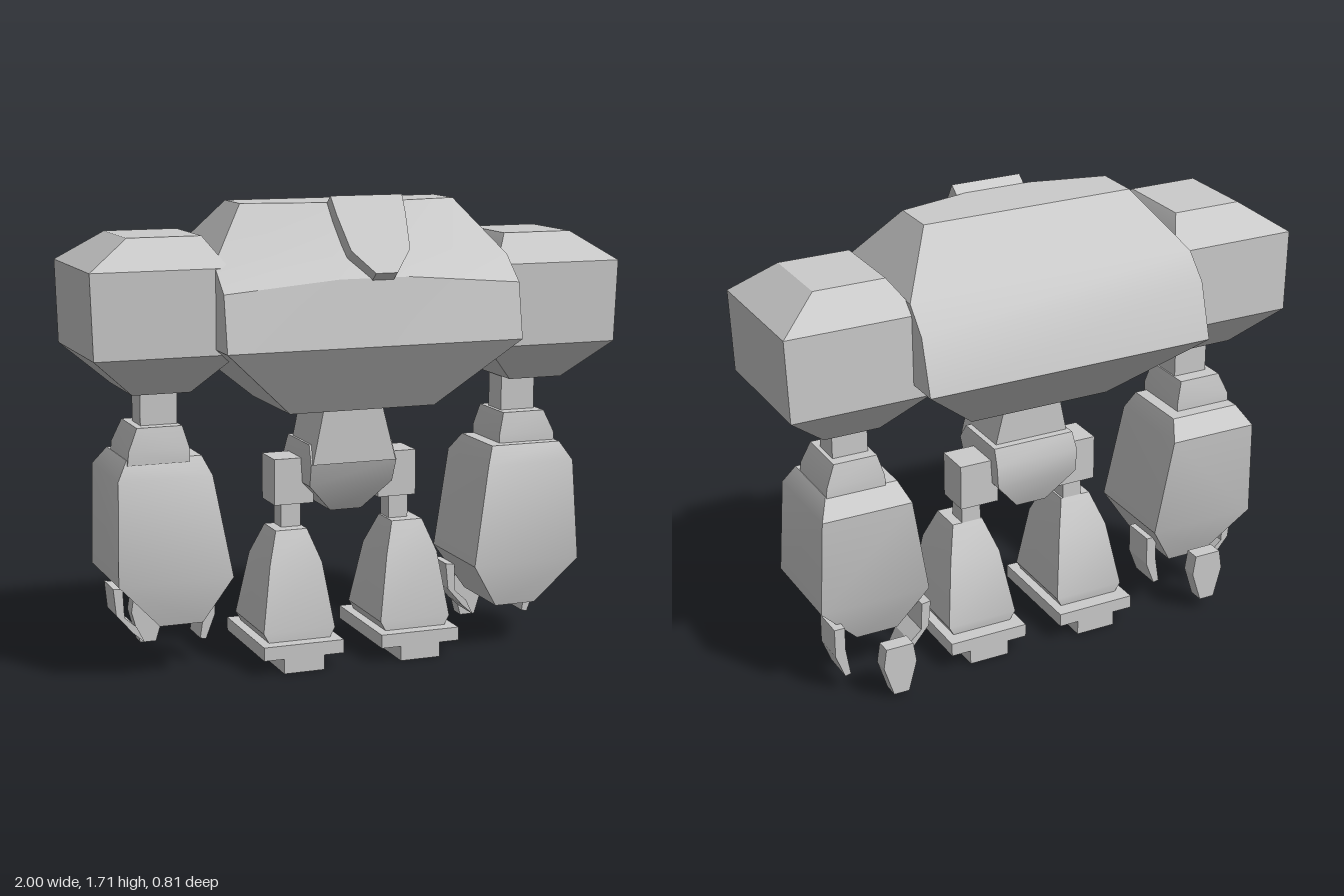
import * as THREE from 'three';
import { toCreasedNormals } from 'three/addons/utils/BufferGeometryUtils.js';

const material = new THREE.MeshStandardMaterial({ color: 0xcccccc });

// Rectangular ring at height y, counterclockwise from above
const rect = (y, x0, x1, z0, z1) => [[x0, y, z1], [x1, y, z1], [x1, y, z0], [x0, y, z0]];

// Closed solid skinned through rings of equal point count
function loft(rings) {
  const pos = [];
  const tri = (a, b, c) => pos.push(...a, ...b, ...c);
  const n = rings[0].length;
  for (let i = 0; i < rings.length - 1; i++) {
    for (let j = 0; j < n; j++) {
      const k = (j + 1) % n;
      const a = rings[i][j], b = rings[i][k], c = rings[i + 1][k], d = rings[i + 1][j];
      tri(a, b, c);
      tri(a, c, d);
    }
  }
  const first = rings[0], last = rings[rings.length - 1];
  for (let j = 1; j < n - 1; j++) {
    tri(first[0], first[j + 1], first[j]);
    tri(last[0], last[j], last[j + 1]);
  }
  const geo = new THREE.BufferGeometry();
  geo.setAttribute('position', new THREE.Float32BufferAttribute(pos, 3));
  return toCreasedNormals(geo, 0.5);
}

// Loft through rectangles [y, x0, x1, z0, z1], listed bottom to top
const stack = (...levels) => loft(levels.map((l) => rect(...l)));

// Flat outline in x, y given thickness from z0 to z1
function slab(points, z0, z1) {
  const shape = new THREE.Shape(points.map(([x, y]) => new THREE.Vector2(x, y)));
  return new THREE.ExtrudeGeometry(shape, { depth: z1 - z0, bevelEnabled: false }).translate(0, 0, z0);
}

function add(parent, name, geometry, x = 0, y = 0, z = 0) {
  const mesh = new THREE.Mesh(geometry, material);
  mesh.name = name;
  mesh.position.set(x, y, z);
  parent.add(mesh);
  return mesh;
}

function makeTorso(group) {
  // Body ring: four points along the front, two at the back
  const ring = (y, w, zBack, zSide, yMid = y, zMid = zSide) =>
    [[-w, y, zSide], [-0.13, yMid, zMid], [0.13, yMid, zMid], [w, y, zSide], [w, y, zBack], [-w, y, zBack]];
  add(group, 'body', loft([
    ring(0.955, 0.275, -0.16, 0.25),
    ring(1.2, 0.55, -0.405, 0.4),
    ring(1.4, 0.55, -0.345, 0.365, 1.435, 0.36),
    ring(1.49, 0.55, -0.26, 0.26, 1.54, 0.265),
    ring(1.685, 0.405, -0.07, 0.1, 1.685, 0.165),
  ]), -0.01);

  // Sloping chest plate
  const outline = [[-0.02, 1.455], [0.06, 1.455], [0.13, 1.53], [0.15, 1.65],
    [0.155, 1.71], [-0.115, 1.71], [-0.11, 1.65], [-0.09, 1.53]];
  const plane = (dy, dz) => outline.map(([x, y]) => [x, y + dy, 0.2 + (1.71 - y) * 0.77 + dz]);
  add(group, 'chestPlate', loft([plane(-0.035, -0.045), plane(0, 0)]));

  // Waist flaring into the pelvis
  add(group, 'waist', stack([0.745, -0.165, 0.155, -0.1, 0.155], [0.96, -0.12, 0.1, -0.1, 0.155]));
  add(group, 'pelvis', stack(
    [0.55, -0.06, 0.06, -0.11, 0.05],
    [0.66, -0.165, 0.155, -0.15, 0.12],
    [0.745, -0.17, 0.16, -0.15, 0.15],
    [0.81, -0.16, 0.16, -0.13, 0.1],
  ));
}

// Arm on one side; the right one sits a little higher and swings back
function makeArm(side) {
  const arm = new THREE.Group();
  const right = side < 0;
  arm.name = right ? 'rightArm' : 'leftArm';
  const part = (name, geo, dx, dz) => {
    if (right) {
      const p = geo.getAttribute('position');
      for (let i = 0; i < p.count; i++) p.setX(i, -p.getX(i));
      // Swap two corners of each triangle so the mirrored faces point out
      for (let i = 0; i < p.count; i += 3) {
        const a = new THREE.Vector3().fromBufferAttribute(p, i + 1);
        const b = new THREE.Vector3().fromBufferAttribute(p, i + 2);
        p.setXYZ(i + 1, b.x, b.y, b.z);
        p.setXYZ(i + 2, a.x, a.y, a.z);
      }
      geo = toCreasedNormals(geo, 0.5);
    }
    add(arm, name, geo, right ? dx : 0, right ? 0.03 : 0, right ? dz : 0);
  };
  part('shoulder', stack(
    [1.01, 0.62, 0.83, -0.16, 0.13],
    [1.15, 0.48, 0.99, -0.275, 0.24],
    [1.45, 0.51, 1.0, -0.27, 0.245],
    [1.555, 0.58, 0.845, -0.155, 0.15],
  ), 0, 0.03);
  part('upperArm', stack([0.85, 0.625, 0.76, -0.06, 0.05], [1.05, 0.625, 0.76, -0.06, 0.05]), -0.01, -0.01);
  part('elbowCollar', stack(
    [0.75, 0.588, 0.815, -0.12, 0.12],
    [0.8, 0.588, 0.81, -0.12, 0.12],
    [0.88, 0.61, 0.775, -0.105, 0.105],
  ), -0.02, -0.02);
  part('forearm', stack(
    [0.163, 0.55, 0.71, -0.1, 0.185],
    [0.33, 0.445, 0.868, -0.16, 0.225],
    [0.7, 0.51, 0.855, -0.175, 0.195],
    [0.768, 0.54, 0.815, -0.115, 0.16],
  ), -0.02, -0.075);

  // Three claws, the same way round on both hands
  const hand = new THREE.Group();
  hand.name = 'hand';
  if (right) hand.position.set(-1.31, 0.03, 0.02);
  add(hand, 'innerClaw', slab([[0.445, 0.28], [0.455, 0.18], [0.515, 0.11], [0.56, 0.07],
    [0.53, 0.13], [0.485, 0.17], [0.48, 0.275]], -0.17, -0.04));
  add(hand, 'outerClaw', slab([[0.785, 0.26], [0.785, 0.17], [0.768, 0.065], [0.79, 0.06],
    [0.825, 0.15], [0.825, 0.26]], -0.17, -0.04));
  add(hand, 'backClaw', slab([[0.575, 0.205], [0.563, 0.13], [0.595, 0.013], [0.655, 0.013],
    [0.692, 0.13], [0.68, 0.205]], -0.295, -0.235));
  arm.add(hand);
  return arm;
}

function makeLeg(side) {
  const leg = new THREE.Group();
  leg.name = side < 0 ? 'rightLeg' : 'leftLeg';
  const box = (name, w, h, d, x, y, z) => add(leg, name, new THREE.BoxGeometry(w, h, d), x, y, z);
  box('hip', 0.15, 0.17, 0.14, -side * 0.025, 0.667, -0.03);
  box('knee', 0.075, 0.14, 0.08, -side * 0.015, 0.53, -0.01);
  add(leg, 'shin', stack(
    [0.1, -0.115, 0.115, -0.16, 0.165],
    [0.14, -0.137, 0.137, -0.165, 0.165],
    [0.38, -0.1, 0.1, -0.11, 0.13],
    [0.497, -0.06, 0.06, -0.05, 0.08],
  ));
  // Foot: a deep sole with a thin rail on each side
  box('sole', 0.155, 0.105, 0.435, 0, 0.0525, -0.002);
  for (const s of [-1, 1]) box('footRail', 0.076, 0.05, 0.435, s * 0.115, 0.08, -0.002);
  leg.position.x = side < 0 ? -0.222 : 0.232;
  return leg;
}

export function createModel() {
  const model = new THREE.Group();
  model.name = 'robot';
  makeTorso(model);
  for (const side of [-1, 1]) model.add(makeArm(side), makeLeg(side));
  return model;
}
